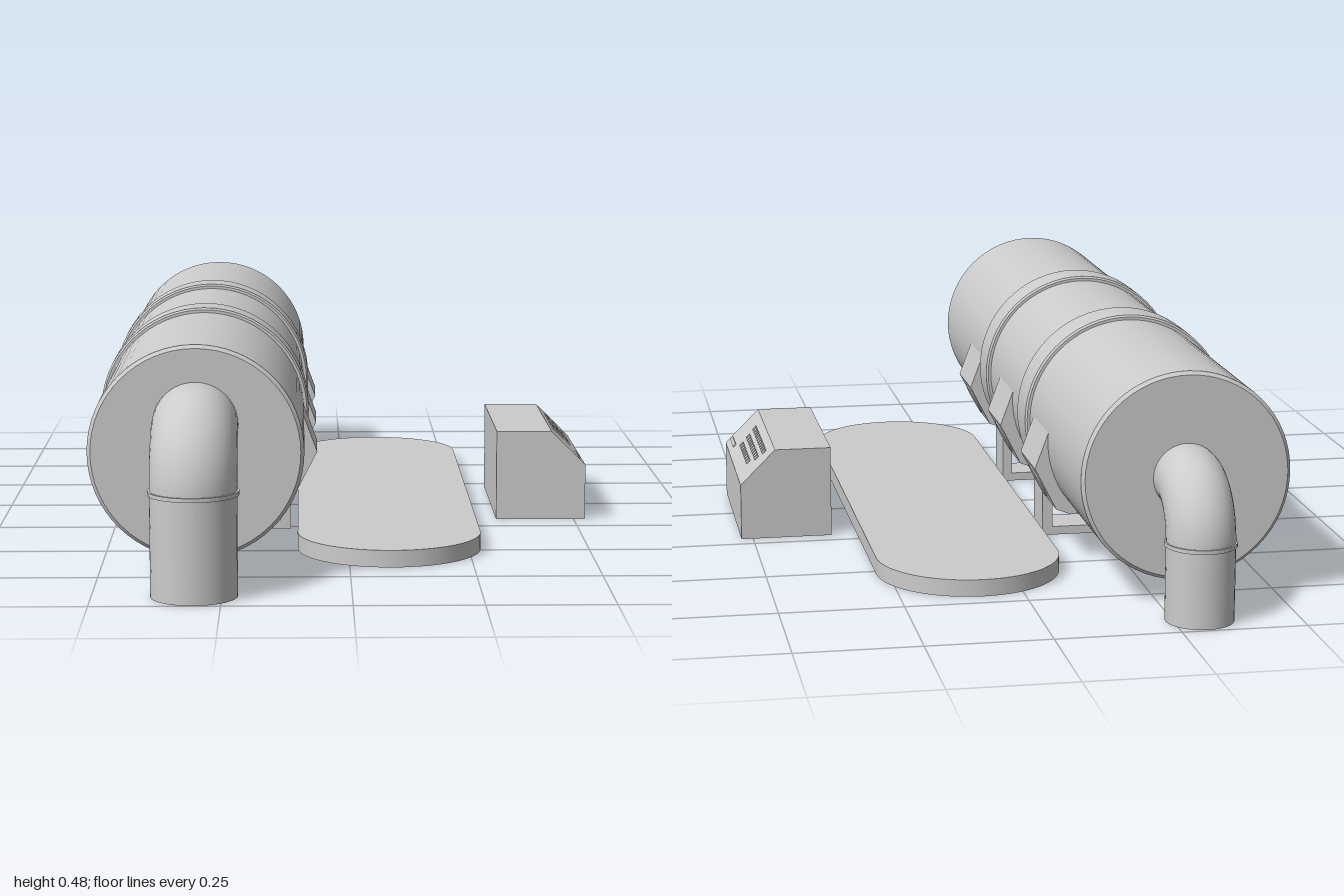
import * as THREE from 'three';
import { toCreasedNormals } from 'three/addons/utils/BufferGeometryUtils.js';

const grey = new THREE.MeshStandardMaterial({ color: 0xcccccc });
const TANK_X = -0.303, TANK_Y = 0.257;

function add(parent, name, geometry, x = 0, y = 0, z = 0) {
  const mesh = new THREE.Mesh(geometry, grey);
  mesh.name = name;
  mesh.position.set(x, y, z);
  parent.add(mesh);
  return mesh;
}

// Closed drum along z with a small bevel on both rims
function drum(radius, z0, z1, bevel) {
  const profile = [[0, z0], [radius - bevel, z0], [radius, z0 + bevel],
    [radius, z1 - bevel], [radius - bevel, z1], [0, z1]];
  const geo = new THREE.LatheGeometry(profile.map(p => new THREE.Vector2(...p)), 64);
  return toCreasedNormals(geo.rotateX(Math.PI / 2), 0.5);
}

// Extrudes an outline drawn in x and y along z
function prism(points, z0, z1) {
  const shape = new THREE.Shape(points.map(p => new THREE.Vector2(...p)));
  return new THREE.ExtrudeGeometry(shape, { depth: z1 - z0, bevelEnabled: false }).translate(0, 0, z0);
}

// Upright pipe with a collar and an elbow entering the tank end; dir is +1 front, -1 back
function endPipe(name, dir, radius, z, height, bend) {
  const pipe = new THREE.Group();
  pipe.name = name;
  pipe.position.set(TANK_X, 0, z);
  add(pipe, 'uprightPipe', new THREE.CylinderGeometry(radius, radius, height, 40), 0, height / 2);
  add(pipe, 'collar', new THREE.CylinderGeometry(radius * 1.05, radius * 1.05, 0.008, 40), 0, height);
  const elbow = add(pipe, 'elbow', new THREE.TorusGeometry(bend, radius, 40, 20, Math.PI / 2),
    0, height, -dir * bend);
  elbow.rotation.y = -dir * Math.PI / 2;
  const stub = new THREE.CylinderGeometry(radius, radius, 0.06, 40).rotateX(Math.PI / 2);
  add(pipe, 'stub', stub, 0, height + bend, -dir * (bend + 0.03));
  return pipe;
}

export function createModel() {
  const model = new THREE.Group();
  model.name = 'tankStation';

  // Main tank
  add(model, 'tank', drum(0.212, -0.813, 0.795, 0.007), TANK_X, TANK_Y, 0);

  // Two straps, each over a U-shaped foot frame
  for (const [z0, z1] of [[-0.29, -0.195], [0.178, 0.27]]) {
    add(model, 'strap', drum(0.222, z0, z1, 0.004), TANK_X, TANK_Y, 0);
    const foot = [[-0.48, 0], [-0.12, 0], [-0.12, 0.14], [-0.142, 0.14], [-0.142, 0.018],
      [-0.458, 0.018], [-0.458, 0.15], [-0.48, 0.15]];
    add(model, 'footFrame', prism(foot, z0, z1));
  }

  // Wedge-shaped housings with a round port on the lower face
  const housing = [[-0.2, 0.11], [-0.143, 0.098], [-0.11, 0.11], [-0.064, 0.199], [-0.092, 0.275], [-0.2, 0.275]];
  for (const z of [-0.405, -0.012, 0.373]) {
    add(model, 'portHousing', prism(housing, z - 0.078, z + 0.078));
    const port = new THREE.Group();
    port.name = 'port';
    port.position.set(-0.087, 0.1545, z);
    port.rotation.z = -0.477;
    add(port, 'portDisc', new THREE.CylinderGeometry(0.034, 0.034, 0.004, 32).rotateZ(Math.PI / 2));
    add(port, 'portRing', new THREE.TorusGeometry(0.036, 0.003, 8, 32).rotateY(Math.PI / 2));
    model.add(port);
  }

  // Inlet and outlet pipes
  model.add(endPipe('frontPipe', 1, 0.084, 0.914, 0.202, 0.11));
  model.add(endPipe('backPipe', -1, 0.068, -0.927, 0.155, 0.102));

  // Flat platform with rounded ends
  const outline = new THREE.Shape();
  outline.absarc(0, 0.497, 0.19, 0, Math.PI);
  outline.absarc(0, -0.497, 0.19, Math.PI, 2 * Math.PI);
  outline.closePath();
  const slab = new THREE.ExtrudeGeometry(outline, { depth: 0.035, bevelEnabled: false, curveSegments: 24 });
  add(model, 'platform', toCreasedNormals(slab.rotateX(-Math.PI / 2), 0.5), 0.085, 0, -0.021);

  // Control console with a chamfered key panel
  add(model, 'console', prism([[0.33, 0], [0.525, 0], [0.525, 0.12], [0.45, 0.195], [0.33, 0.195]], -0.212, 0.175));
  const panel = new THREE.Group();
  panel.name = 'keyPanel';
  panel.position.set(0.4875, 0.1575, 0);
  panel.rotation.z = -Math.PI / 4;
  const key = new THREE.BoxGeometry(0.011, 0.003, 0.012);
  [12, 11, 9].forEach((count, row) => {
    for (let i = 0; i < count; i++) {
      add(panel, 'key', key, (row - 1) * 0.022 - 0.006, 0.001, 0.062 - row * 0.009 - i * 0.0195);
    }
  });
  add(panel, 'slot', new THREE.BoxGeometry(0.008, 0.003, 0.075), 0.034, 0.001, 0.122);
  model.add(panel);

  return model;
}
